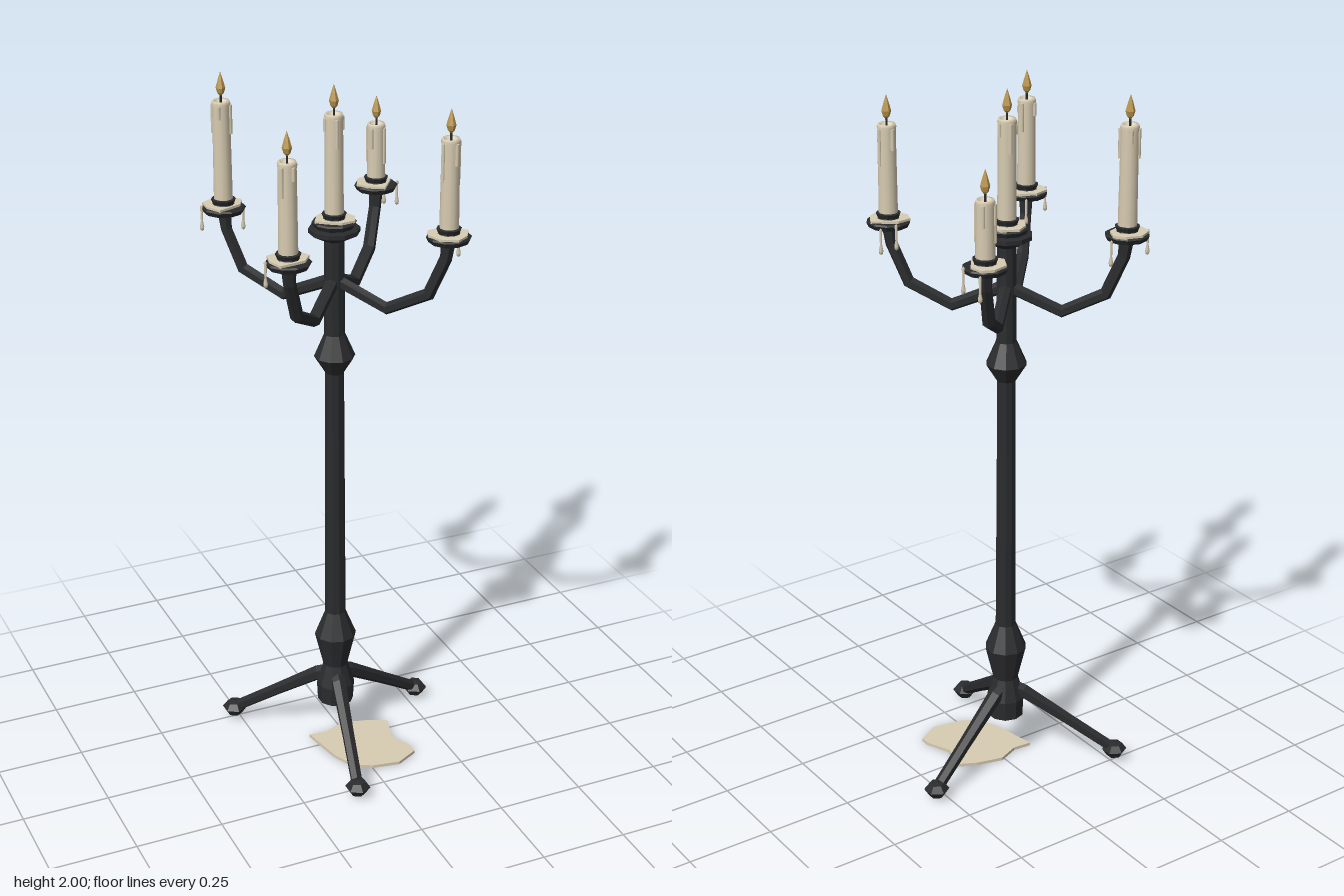
import * as THREE from 'three';

export function createModel() {
  const model = new THREE.Group();
  model.name = 'candelabra';
  const iron = new THREE.MeshStandardMaterial({ color: 0x2a2b2d });
  iron.name = 'black iron';
  const wax = new THREE.MeshStandardMaterial({ color: 0xd8ccb2 });
  wax.name = 'ivory wax';
  const gold = new THREE.MeshStandardMaterial({ color: 0xbd9850 });
  gold.name = 'flame gold';

  const add = (parent, name, geometry, material, x = 0, y = 0, z = 0) => {
    const mesh = new THREE.Mesh(geometry, material);
    mesh.name = name;
    mesh.position.set(x, y, z);
    parent.add(mesh);
    return mesh;
  };
  // Faceted copy of a geometry
  const facet = (geometry) => {
    const g = geometry.toNonIndexed();
    g.computeVertexNormals();
    return g;
  };
  const lathe = (points, sides) =>
    new THREE.LatheGeometry(points.map(([r, y]) => new THREE.Vector2(r, y)), sides);

  // Six-sided rod with mitred bends, along points [x, y, radius]
  function rod(points, sides = 6) {
    const pos = [], index = [];
    points.forEach(([x, y, r], i) => {
      const a = points[Math.max(i - 1, 0)], b = points[Math.min(i + 1, points.length - 1)];
      const t = new THREE.Vector2(b[0] - a[0], b[1] - a[1]).normalize();
      for (let j = 0; j < sides; j++) {
        const c = Math.cos((j / sides) * Math.PI * 2) * r, s = Math.sin((j / sides) * Math.PI * 2) * r;
        pos.push(x - t.y * c, y + t.x * c, s);
        if (i < points.length - 1) {
          const p = i * sides + j, q = i * sides + ((j + 1) % sides);
          index.push(p, q, p + sides, q, q + sides, p + sides);
        }
      }
    });
    const g = new THREE.BufferGeometry();
    g.setAttribute('position', new THREE.Float32BufferAttribute(pos, 3));
    g.setIndex(index);
    return facet(g);
  }

  // Flat slab from an [x, z] outline, resting on y = 0
  function slab(outline, height) {
    const shape = new THREE.Shape(outline.map(([x, z]) => new THREE.Vector2(x, -z)));
    return new THREE.ExtrudeGeometry(shape, { depth: height, bevelEnabled: false }).rotateX(-Math.PI / 2);
  }

  // Everything metal stands around this axis
  const stand = new THREE.Group();
  stand.name = 'stand';
  stand.position.set(-0.028, 0, -0.031);
  model.add(stand);

  add(stand, 'column', facet(lathe([
    [0, 0.133], [0.052, 0.133], [0.055, 0.19], [0.036, 0.255], [0.06, 0.355], [0.03, 0.43],
    [0.026, 1.185], [0.057, 1.235], [0.029, 1.3], [0.027, 1.57], [0.07, 1.593], [0.07, 1.605],
    [0.03, 1.612], [0, 1.612],
  ], 10)), iron);

  // Three legs with flattened hexagonal feet
  const legShape = rod([[0.01, 0.225, 0.022], [0.05, 0.21, 0.022], [0.19, 0.12, 0.018], [0.305, 0.045, 0.017]]);
  const footShape = facet(lathe([[0, 0.01], [0.022, 0.013], [0.036, 0.034], [0.022, 0.052], [0, 0.056]], 6));
  for (let i = 0; i < 3; i++) {
    const angle = 0.305 + (i * Math.PI * 2) / 3;
    add(stand, 'leg', legShape, iron).rotation.y = angle;
    add(stand, 'foot', footShape, iron, Math.cos(angle) * 0.322, 0, -Math.sin(angle) * 0.322);
  }

  // Four bent arms
  const armShape = rod([
    [0.01, 1.455, 0.018], [0.15, 1.395, 0.018], [0.268, 1.453, 0.018], [0.314, 1.56, 0.017], [0.32, 1.61, 0.02],
  ]);
  for (let i = 0; i < 4; i++) add(stand, 'arm', armShape, iron).rotation.y = Math.PI / 4 + (i * Math.PI) / 2;

  // Shared candle pieces
  const dishShape = facet(lathe([[0, 1.597], [0.025, 1.6], [0.054, 1.609], [0.061, 1.622], [0.056, 1.626], [0, 1.624]], 10));
  const socketShape = facet(lathe([[0.034, 1.622], [0.029, 1.634], [0.034, 1.646], [0.024, 1.648]], 10));
  const poolShape = slab([
    [0, -0.059], [0.043, -0.036], [0.056, 0.009], [0.043, 0.041], [0.002, 0.046],
    [-0.034, 0.02], [-0.058, 0.002], [-0.034, -0.039],
  ].reverse(), 0.007);
  const flameShape = facet(lathe([[0, 0], [0.009, 0.01], [0.013, 0.024], [0.007, 0.046], [0, 0.068]], 6));
  const wickShape = new THREE.CylinderGeometry(0.003, 0.003, 0.026, 6);
  const hangShape = lathe([[0, 0], [0.005, 0.004], [0.006, 0.012], [0.003, 0.028], [0.004, 0.07], [0, 0.074]], 6);
  const runShape = new THREE.CapsuleGeometry(0.006, 1, 3, 6);

  // x, z, candle top, pool turn, angles of hanging drips
  const candles = [
    [0, 0, 1.92, 0, []],
    [0.227, 0.227, 1.89, Math.PI, [0.65, 1.35]],
    [-0.227, 0.227, 1.89, 0.8, [0.95, 3.0]],
    [0.227, -0.227, 1.8, Math.PI / 2, [0.75, -0.2]],
    [-0.227, -0.227, 1.92, 1.0, [0.15, 2.9]],
  ];
  candles.forEach(([x, z, top, turn, drips], n) => {
    const holder = new THREE.Group();
    holder.name = 'candleHolder';
    holder.position.set(x, 0, z);
    stand.add(holder);
    add(holder, 'dish', dishShape, iron);
    add(holder, 'socket', socketShape, iron);
    add(holder, 'waxPool', poolShape, wax, 0, 1.625, 0).rotation.y = turn;
    add(holder, 'candle', lathe([
      [0.026, 1.63], [0.024, top - 0.02], [0.026, top - 0.008], [0.023, top],
      [0.017, top - 0.002], [0.013, top - 0.01], [0, top - 0.01],
    ], 12), wax);
    add(holder, 'wick', wickShape, iron, 0, top + 0.003, 0);
    add(holder, 'flame', flameShape, gold, 0, top + 0.01, 0);

    // Wax running down the candle
    for (let i = 0; i < 4; i++) {
      const a = n * 1.3 + i * 1.65, length = 0.035 + 0.022 * ((i * 2 + n) % 4);
      add(holder, 'waxRun', runShape, wax, Math.cos(a) * 0.024, top - 0.012 - length / 2, Math.sin(a) * 0.024)
        .scale.set(1, length, 1);
    }
    // Drips hanging from the dish rim
    drips.forEach((a, i) =>
      add(holder, 'hangingDrip', hangShape, wax, Math.cos(a) * 0.06, 1.545 + i * 0.012, -Math.sin(a) * 0.06));
  });

  // Wax spilled on the floor
  add(model, 'floorPuddle', slab([
    [0.087, -0.05], [0.14, -0.023], [0.115, 0.054], [0.145, 0.125], [0.145, 0.153], [0.08, 0.187],
    [0, 0.173], [-0.05, 0.145], [-0.08, 0.078], [-0.104, -0.05], [-0.05, -0.045], [0.01, -0.07],
  ].reverse(), 0.009), wax);

  return model;
}
